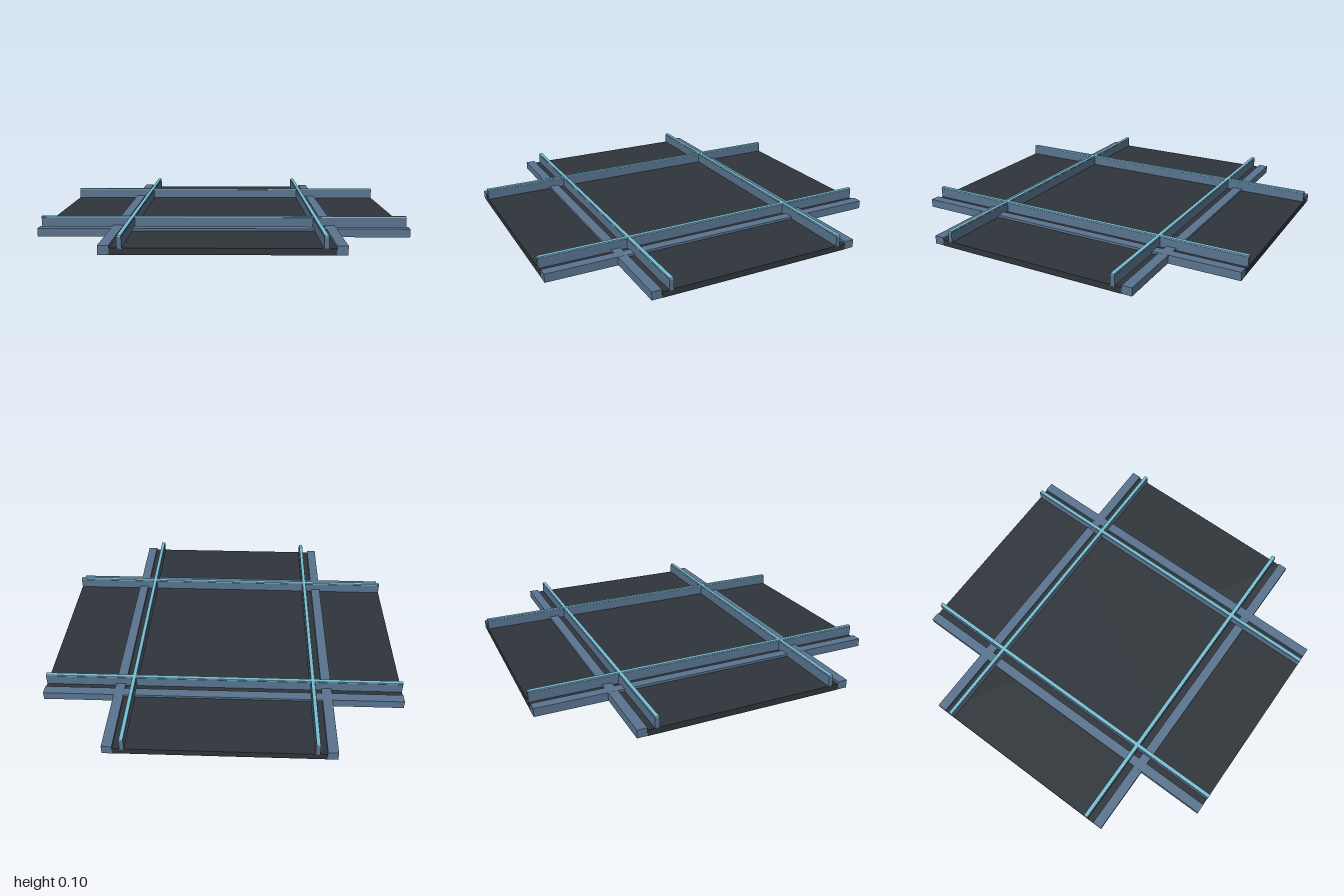
import * as THREE from 'three';

const paint = (name, color) => Object.assign(new THREE.MeshStandardMaterial({ color }), { name });

export function createModel() {
  const dark = paint('dark deck', 0x2e353a);
  const steel = paint('blue steel', 0x5a7490);
  const glow = paint('light cyan', 0x78c0d4);
  const root = new THREE.Group();
  root.name = 'crossJunction';

  // Strip of length 2 along z, spanning y0..y1, centred at x
  const strip = (name, mat, width, y0, y1, x, parent) => {
    const mesh = new THREE.Mesh(new THREE.BoxGeometry(width, y1 - y0, 2), mat);
    mesh.name = name;
    mesh.position.set(x, (y0 + y1) / 2, 0);
    parent.add(mesh);
  };

  // Two identical lanes crossing at right angles; tiny offsets keep overlaps clean
  [0, 1].forEach((i) => {
    const lane = new THREE.Group();
    lane.name = i ? 'crossLane' : 'mainLane';
    lane.rotation.y = i * Math.PI / 2;
    const lift = i * 0.002;
    strip('deck', dark, 1.1, 0.001, 0.035 - lift / 4, 0, lane);
    for (const side of [-1, 1]) {
      strip('curb', steel, 0.055, lift, 0.048 - lift / 4, side * 0.578, lane);
      strip('rail', steel, 0.024, 0.03, 0.09 - lift / 4, side * 0.5, lane);
      strip('railLight', glow, 0.02, 0.088, 0.097 - lift / 4, side * 0.5, lane);
    }
    root.add(lane);
  });
  return root;
}
